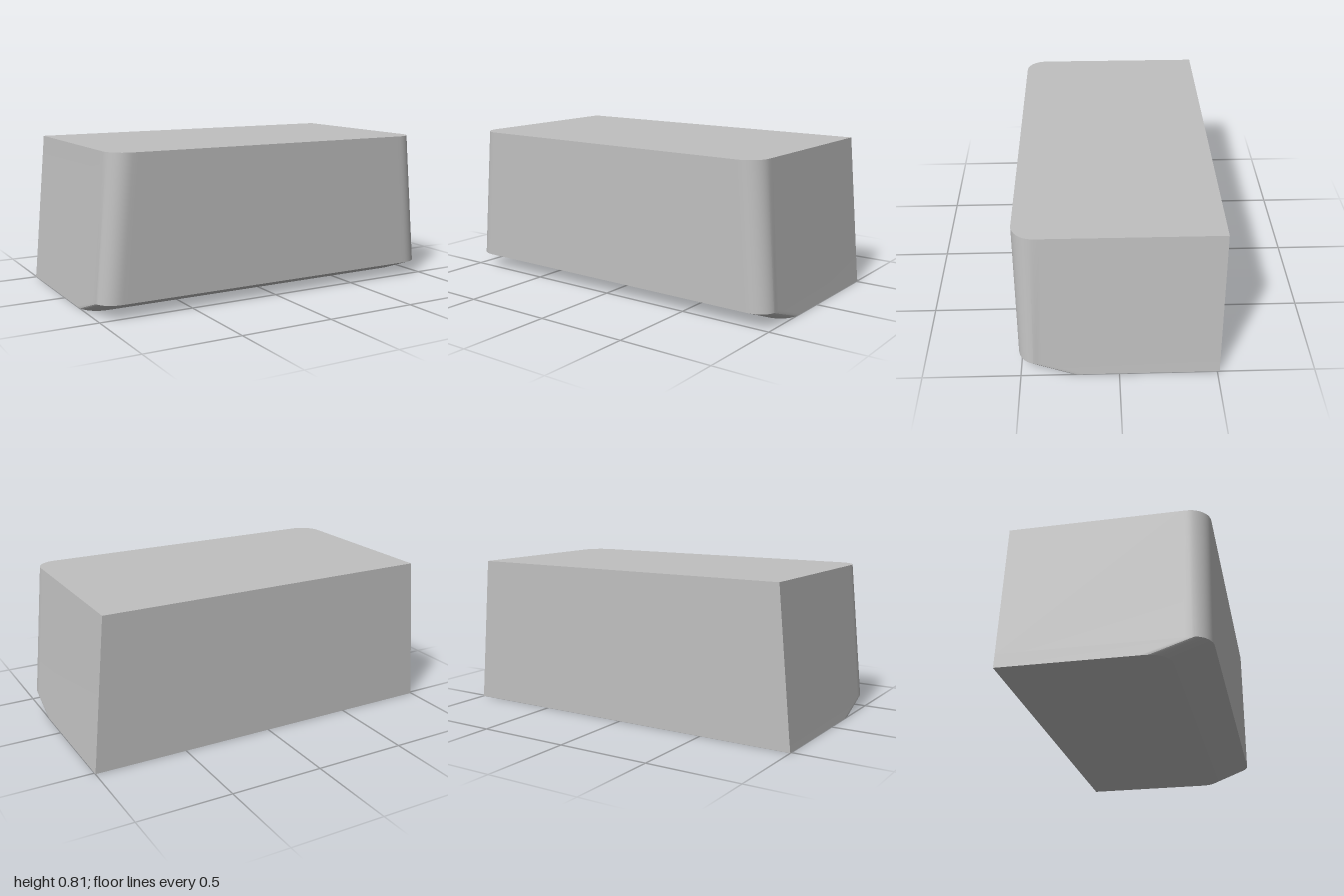
import * as THREE from 'three';
import { toCreasedNormals } from 'three/addons/utils/BufferGeometryUtils.js';

const BACK = -0.512;
const ARC_STEPS = 10;

// Horizontal outline: square back corners, rounded front corners
function outline({ y, halfWidth, front, cornerZ, cornerX }) {
  const half = [[halfWidth, BACK], [halfWidth, cornerZ - 0.03]];
  for (let i = 0; i <= ARC_STEPS; i++) {
    const a = (i / ARC_STEPS) * Math.PI / 2;
    half.push([
      halfWidth - cornerX * (1 - Math.cos(a)),
      cornerZ + (front - cornerZ) * Math.sin(a),
    ]);
  }
  half.push([halfWidth - cornerX - 0.03, front]);
  const right = half.map(([x, z]) => [-x, y, z]);
  const left = half.map(([x, z]) => [x, y, z]).reverse();
  return [...right, ...left];
}

// Closed solid through a stack of outlines
function loft(rings) {
  const n = rings[0].length;
  const index = [];
  for (let r = 0; r < rings.length - 1; r++) {
    for (let i = 0; i < n; i++) {
      const j = (i + 1) % n;
      const a = r * n + i, b = r * n + j;
      index.push(a, b, b + n, a, b + n, a + n);
    }
  }
  const top = (rings.length - 1) * n;
  for (let i = 1; i < n - 1; i++) {
    index.push(0, i + 1, i);
    index.push(top, top + i, top + i + 1);
  }
  const geometry = new THREE.BufferGeometry();
  geometry.setAttribute('position', new THREE.Float32BufferAttribute(rings.flat(2), 3));
  geometry.setIndex(index);
  return toCreasedNormals(geometry, 0.3);
}

export function createModel() {
  const group = new THREE.Group();
  group.name = 'taperedBlock';
  const grey = new THREE.MeshStandardMaterial({ color: 0xc0c0c0 });
  grey.name = 'grey';

  // Tapered body with a sloping undercut along the lower front
  const body = new THREE.Mesh(loft([
    outline({ y: 0, halfWidth: 1, front: 0.32, cornerZ: 0.205, cornerX: 0.11 }),
    outline({ y: 0.075, halfWidth: 0.992, front: 0.512, cornerZ: 0.42, cornerX: 0.11 }),
    outline({ y: 0.812, halfWidth: 0.923, front: 0.512, cornerZ: 0.4, cornerX: 0.11 }),
  ]), grey);
  body.name = 'body';
  group.add(body);
  return group;
}
